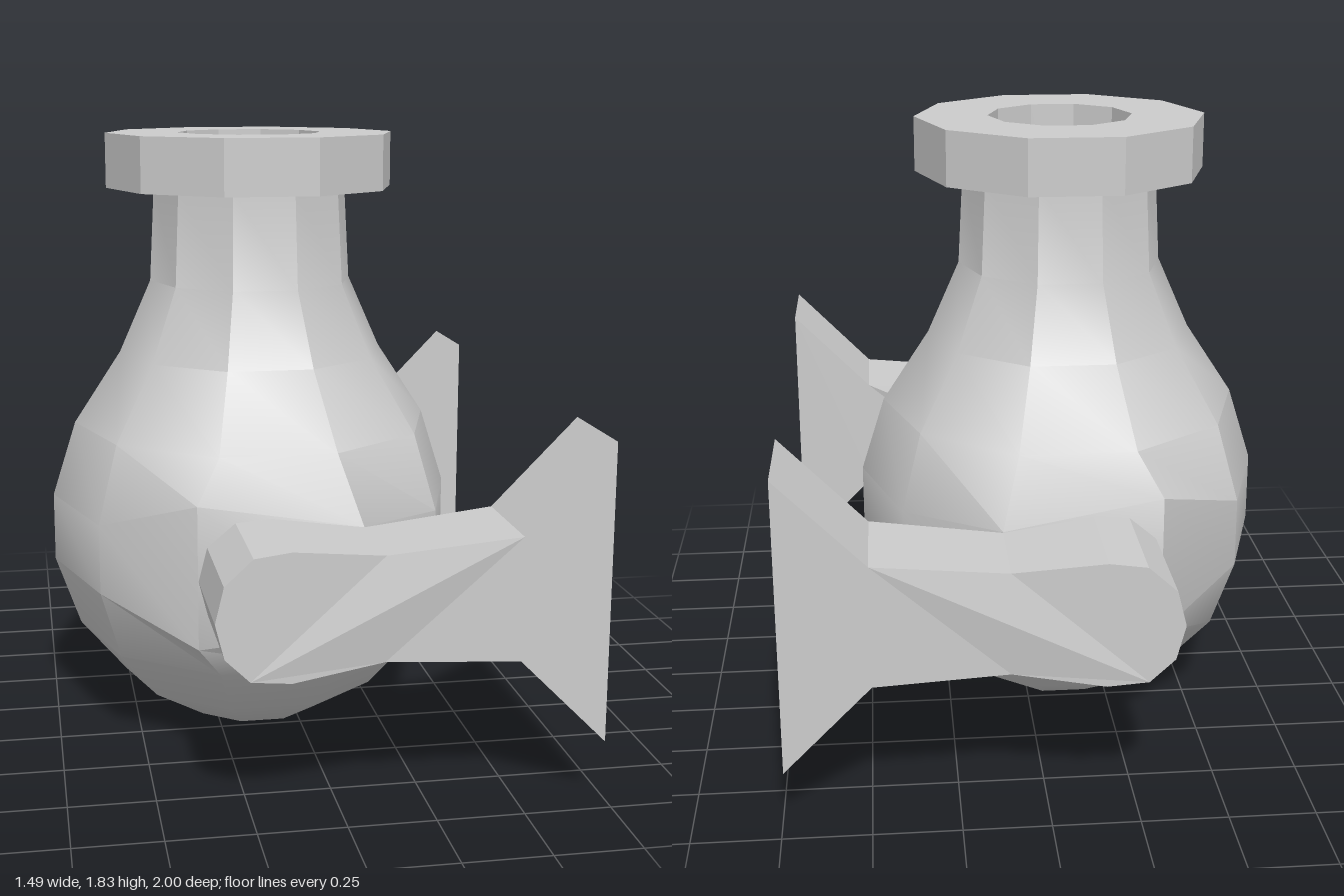
import * as THREE from 'three';
import { toCreasedNormals } from 'three/addons/utils/BufferGeometryUtils.js';

const AXIS_X = -0.117; // vertical axis of the bulb
const Z_SCALE = 1.05;
const SIDES = 10;
const CREASE = 0.58;

function grey(options = {}) {
  return new THREE.MeshStandardMaterial({ color: 0xcccccc, ...options });
}

// Ten-sided turned form with a corner on the x axis
function turned(profile) {
  const points = profile.map(([r, y]) => new THREE.Vector2(r, y));
  const geometry = new THREE.LatheGeometry(points, SIDES, Math.PI / 2);
  geometry.scale(1, 1, Z_SCALE);
  geometry.translate(AXIS_X, 0, 0);
  return geometry;
}

// Round bulb and neck; the two middle rings are drawn out to meet the arms
function bulbGeometry() {
  const geometry = turned([
    [0, 0], [0.22, 0], [0.413, 0.12], [0.553, 0.285], [0.628, 0.5],
    [0.628, 0.71], [0.555, 0.94], [0.41, 1.16], [0.3125, 1.38], [0.297, 1.67],
  ]);
  const p = geometry.attributes.position;
  for (let i = 0; i < p.count; i++) {
    const x = p.getX(i), y = p.getY(i), z = p.getZ(i);
    if (y < 0.45 || y > 0.75 || Math.abs(z) < 0.55) continue;
    const upper = y > 0.6, side = Math.sign(z);
    if (x > AXIS_X) p.setXYZ(i, 0.11, upper ? 0.75 : 0.45, side * 0.665);
    else p.setXYZ(i, -0.36, upper ? 0.815 : 0.39, side * 0.615);
  }
  return toCreasedNormals(geometry, CREASE);
}

// Linear interpolation through [x, value] stations
function along(stations, x) {
  for (let i = 1; i < stations.length; i++) {
    const [x0, v0] = stations[i - 1], [x1, v1] = stations[i];
    if (x <= x1) return THREE.MathUtils.lerp(v0, v1, (x - x0) / (x1 - x0));
  }
  return stations[stations.length - 1][1];
}

// Arm: rounded tip, waist and flared flat foot, with slightly bent flanks
function armGeometry() {
  const outline = [
    [-0.36, 0.6], [-0.335, 0.5], [-0.265, 0.43], [-0.15, 0.415], [0.11, 0.45],
    [0.49, 0.43], [0.74, 0.18], [0.74, 1.04], [0.49, 0.785], [0.11, 0.75],
    [-0.15, 0.78], [-0.255, 0.77], [-0.335, 0.7],
  ];
  const shape = new THREE.Shape(outline.map(([x, y]) => new THREE.Vector2(x, y)));
  const geometry = new THREE.ExtrudeGeometry(shape, { depth: 1, bevelEnabled: false });
  const inner = [[-0.36, 0.63], [0.11, 0.67], [0.49, 0.635], [0.74, 0.635]];
  const outer = [[-0.36, 1.0], [0.11, 0.95], [0.49, 0.955], [0.74, 0.96]];
  const p = geometry.attributes.position;
  for (let i = 0; i < p.count; i++) {
    p.setZ(i, along(p.getZ(i) > 0.5 ? outer : inner, p.getX(i)));
  }
  geometry.computeVertexNormals();
  return geometry;
}

export function createModel() {
  const group = new THREE.Group();

  const bulb = new THREE.Mesh(bulbGeometry(), grey());
  bulb.name = 'bulbAndNeck';
  group.add(bulb);

  // Collar with the bore running down into the neck
  const collar = new THREE.Mesh(turned([
    [0.295, 1.665], [0.4425, 1.665], [0.4425, 1.83], [0.22, 1.83], [0.217, 1.25], [0, 1.25],
  ]), grey({ flatShading: true }));
  collar.name = 'collarAndBore';
  group.add(collar);

  // Matching arms on either side
  const arm = armGeometry();
  for (const [name, side] of [['frontArm', 1], ['backArm', -1]]) {
    const mesh = new THREE.Mesh(arm, grey({ flatShading: true }));
    mesh.name = name;
    mesh.scale.z = side;
    group.add(mesh);
  }
  return group;
}
